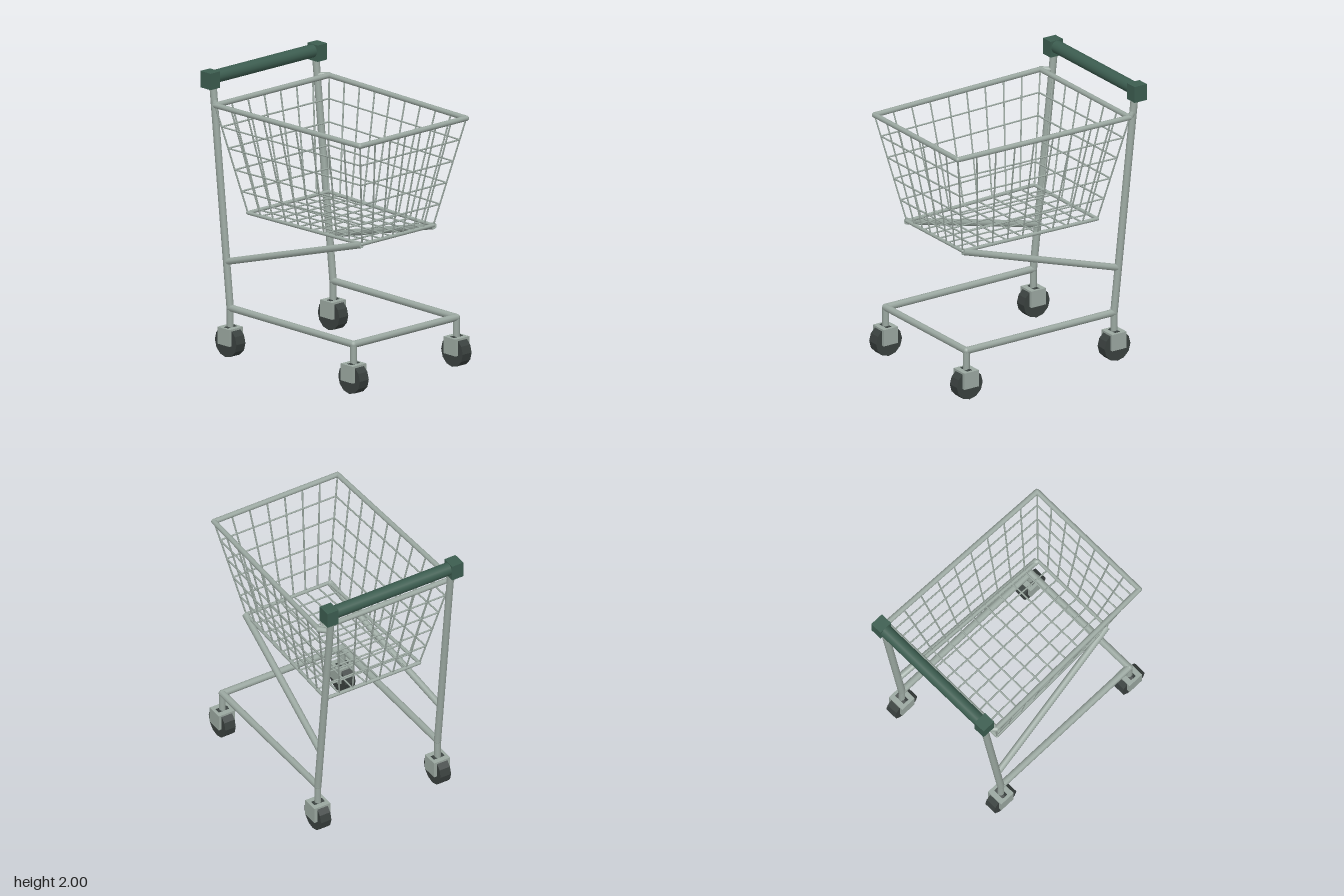
import * as THREE from 'three';

const steel = new THREE.MeshStandardMaterial({ color: 0x9ba8a1 });
steel.name = 'steel';
const grip = new THREE.MeshStandardMaterial({ color: 0x3c5d50 });
grip.name = 'green grip';
const rubber = new THREE.MeshStandardMaterial({ color: 0x3a413f, flatShading: true });
rubber.name = 'dark rubber';

const V = (x, y, z) => new THREE.Vector3(x, y, z);
const UP = V(0, 1, 0);

// Straight round bar between two points
function bar(parent, name, a, b, r, mat = steel, sides = 10) {
  const d = b.clone().sub(a);
  const m = new THREE.Mesh(new THREE.CylinderGeometry(r, r, d.length(), sides), mat);
  m.position.copy(a).add(b).multiplyScalar(0.5);
  m.quaternion.setFromUnitVectors(UP, d.normalize());
  m.name = name;
  parent.add(m);
}

function joint(parent, name, p, r) {
  const m = new THREE.Mesh(new THREE.SphereGeometry(r, 10, 8), steel);
  m.position.copy(p);
  m.name = name;
  parent.add(m);
}

function box(parent, name, size, p, mat) {
  const m = new THREE.Mesh(new THREE.BoxGeometry(...size), mat);
  m.position.copy(p);
  m.name = name;
  parent.add(m);
}

// Wire mesh panel spanning the four-sided patch a-b (one edge) to c-d (opposite edge)
function wirePanel(parent, name, a, b, c, d, nu, nv) {
  const g = new THREE.Group();
  g.name = name;
  for (let i = 0; i <= nu; i++) {
    bar(g, 'wire', a.clone().lerp(b, i / nu), c.clone().lerp(d, i / nu), 0.006, steel, 6);
  }
  for (let j = 1; j < nv; j++) {
    bar(g, 'crossWire', a.clone().lerp(c, j / nv), b.clone().lerp(d, j / nv), 0.006, steel, 6);
  }
  parent.add(g);
}

function createBasket() {
  const g = new THREE.Group();
  g.name = 'basket';
  // Corners in order: front left, front right, back right, back left
  const top = [V(0.5, 1.78, 0.76), V(-0.5, 1.78, 0.76), V(-0.537, 1.78, -0.65), V(0.537, 1.78, -0.65)];
  const low = [V(0.335, 1.015, 0.605), V(-0.335, 1.015, 0.605), V(-0.378, 1.015, -0.49), V(0.378, 1.015, -0.49)];
  const walls = ['frontWall', 'rightWall', 'backWall', 'leftWall'];
  for (let i = 0; i < 4; i++) {
    const k = (i + 1) % 4;
    bar(g, 'topRim', top[i], top[k], 0.019);
    bar(g, 'bottomRim', low[i], low[k], 0.013);
    joint(g, 'topRimCorner', top[i], 0.019);
    joint(g, 'bottomRimCorner', low[i], 0.013);
    wirePanel(g, walls[i], low[i], low[k], top[i], top[k], i % 2 ? 9 : 7, 5);
  }
  wirePanel(g, 'basketFloor', low[0], low[1], low[3], low[2], 7, 9);
  return g;
}

function createCaster(x, z) {
  const g = new THREE.Group();
  g.name = 'caster';
  const wheel = new THREE.Mesh(new THREE.CylinderGeometry(0.108, 0.108, 0.084, 12), rubber);
  wheel.rotation.z = Math.PI / 2;
  wheel.position.set(x, 0.108, z);
  wheel.name = 'wheel';
  g.add(wheel);
  box(g, 'wheelBracket', [0.13, 0.12, 0.12], V(x, 0.15, z), steel);
  bar(g, 'casterStem', V(x, 0.18, z), V(x, 0.345, z), 0.024);
  return g;
}

function createSide(s) {
  const g = new THREE.Group();
  g.name = s > 0 ? 'leftFrame' : 'rightFrame';
  const x = s * 0.484;
  const front = V(x, 0.345, 0.678);
  const back = V(x, 0.345, -0.555);
  bar(g, 'baseRail', front, back, 0.025);
  joint(g, 'frontElbow', front, 0.025);
  joint(g, 'backElbow', back, 0.026);
  bar(g, 'rearPost', back, V(x, 1.93, -0.73), 0.026);
  // Diagonal brace under the basket and the link from rim to post
  bar(g, 'basketBrace', V(s * 0.34, 1.012, 0.605), V(x, 0.668, -0.588), 0.024);
  bar(g, 'rimLink', V(s * 0.545, 1.78, -0.645), V(x, 1.78, -0.705), 0.021);
  g.add(createCaster(x, 0.678), createCaster(x, -0.555));
  box(g, 'handleEnd', [0.09, 0.117, 0.102], V(s * 0.504, 1.9415, -0.733), grip);
  return g;
}

export function createModel() {
  const cart = new THREE.Group();
  cart.name = 'shoppingCart';
  cart.add(createBasket(), createSide(1), createSide(-1));
  bar(cart, 'frontBaseBar', V(-0.484, 0.345, 0.678), V(0.484, 0.345, 0.678), 0.025);
  bar(cart, 'handleBar', V(-0.48, 1.952, -0.735), V(0.48, 1.952, -0.735), 0.046, grip, 16);
  return cart;
}
